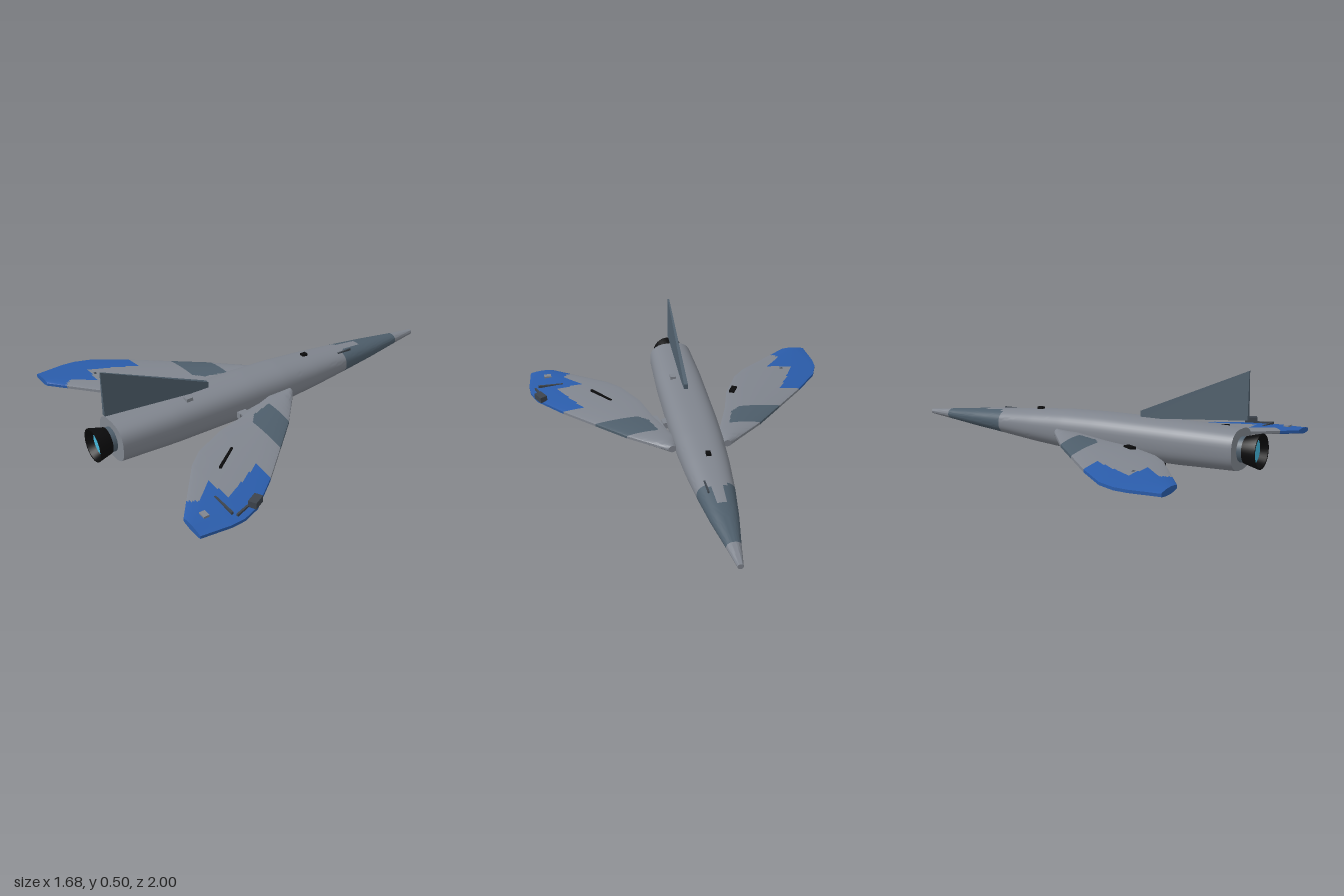
import * as THREE from 'three';
import { toCreasedNormals } from 'three/addons/utils/BufferGeometryUtils.js';

const paint = (name, color, side = THREE.FrontSide) => {
  const m = new THREE.MeshStandardMaterial({ color, side });
  m.name = name;
  return m;
};

// Piecewise linear lookup in a table of [position, value...] rows
function lookup(table, t, k = 1) {
  let i = 1;
  while (i < table.length - 1 && t > table[i][0]) i++;
  const a = table[i - 1], b = table[i];
  const f = THREE.MathUtils.clamp((t - a[0]) / (b[0] - a[0]), 0, 1);
  return a[k] + (b[k] - a[k]) * f;
}

function inside(poly, x, z) {
  let hit = false;
  for (let i = 0, j = poly.length - 1; i < poly.length; j = i++) {
    const [xi, zi] = poly[i], [xj, zj] = poly[j];
    if ((zi > z) !== (zj > z) && x < ((xj - xi) * (z - zi)) / (zj - zi) + xi) hit = !hit;
  }
  return hit;
}

// Skin through cross-sections; pick(x, y, z) chooses the material index of each cell
function skin(rows, cols, point, pick, flip, crease) {
  const pos = [], buckets = [[], [], []];
  for (let i = 0; i <= rows; i++) for (let j = 0; j <= cols; j++) pos.push(...point(i, j));
  const w = cols + 1;
  for (let i = 0; i < rows; i++) for (let j = 0; j < cols; j++) {
    const a = i * w + j, b = a + w, c = b + 1, d = a + 1;
    const mid = [0, 1, 2].map(k => [a, b, c, d].reduce((s, v) => s + pos[v * 3 + k], 0) / 4);
    buckets[pick(...mid)].push(...(flip ? [a, c, b, a, d, c] : [a, b, c, a, c, d]));
  }
  const geo = new THREE.BufferGeometry();
  geo.setAttribute('position', new THREE.Float32BufferAttribute(pos, 3));
  geo.setIndex(buckets.flat());
  let start = 0;
  buckets.forEach((b, k) => { geo.addGroup(start, b.length, k); start += b.length; });
  return toCreasedNormals(geo, crease);
}

// Wing plan: leading and trailing edge x at each z, and the painted areas
const LEAD = [[-0.05, 0.165], [0.12, 0.36], [0.45, 0.67], [0.61, 0.8], [0.7, 0.835], [0.77, 0.84], [0.92, 0.825]];
const TRAIL = [[-0.05, 0.125], [0.07, 0.125], [0.28, 0.2], [0.45, 0.245], [0.62, 0.33], [0.7, 0.4], [0.92, 0.69]];
const SLATE_AREA = [[0.19, 0.12], [0.4, 0.12], [0.6, 0.28], [0.28, 0.28], [0.23, 0.24]];
const BLUE_AREA = [[0.56, 0.455], [0.9, 0.455], [0.9, 0.95], [0.69, 0.95], [0.6, 0.86], [0.64, 0.81], [0.54, 0.7], [0.69, 0.69], [0.62, 0.56]];
const wingY = x => 0.13 - 0.057 * (x - 0.13);

function wingGeometry(side) {
  const rows = 97, n = 40;
  return skin(rows + 2, 2 * n + 2, (i, j) => {
    const z = -0.05 + 0.01 * THREE.MathUtils.clamp(i - 1, 0, rows);
    const under = j > n && j < 2 * n + 2;
    const u = j <= n ? j / n : under ? (2 * n + 1 - j) / n : 0;
    const x = THREE.MathUtils.lerp(lookup(TRAIL, z), lookup(LEAD, z), u);
    const cap = i === 0 || i === rows + 2;
    const half = cap ? 0 : 0.007 + 0.012 * (1.1 - 0.5 * x) * Math.pow(Math.sin(Math.PI * u) + 1e-9, 0.7);
    return [side * x, wingY(x) + (under ? -half : half), z];
  }, (x, y, z) => inside(BLUE_AREA, Math.abs(x), z) ? 2 : inside(SLATE_AREA, Math.abs(x), z) ? 1 : 0, side < 0, 0.6);
}

// Body stations: z, half width, bottom y, top y
const BODY = [[-1, 0.014, 0.115, 0.142], [-0.86, 0.036, 0.101, 0.155], [-0.66, 0.07, 0.081, 0.176], [-0.46, 0.096, 0.064, 0.194],
  [-0.25, 0.115, 0.043, 0.212], [-0.05, 0.126, 0.028, 0.226], [0.15, 0.13, 0.022, 0.231], [0.6, 0.13, 0.021, 0.231], [0.9, 0.12, 0.028, 0.226]];

function bodyGeometry() {
  const rows = 95, cols = 48;
  return skin(rows + 2, cols, (i, j) => {
    const z = -1 + 0.02 * THREE.MathUtils.clamp(i - 1, 0, rows);
    const k = i === 0 || i === rows + 2 ? 0 : 1; // closed ends
    const t = -Math.PI + (2 * Math.PI * j) / cols;
    const low = lookup(BODY, z, 2), high = lookup(BODY, z, 3);
    const e = 2 / (2.15 + 0.5 * THREE.MathUtils.clamp(z + 0.8, 0, 1));
    const round = v => Math.sign(v) * Math.pow(Math.abs(v), e);
    return [k * lookup(BODY, z, 1) * round(Math.sin(t)), (low + high) / 2 + k * ((high - low) / 2) * round(Math.cos(t)), z];
  }, (x, y, z) => {
    const notch = y > 0.13 && z > -0.6 && Math.abs(x) < (z > -0.49 ? 0.055 : 0.024);
    return z > -0.86 && z < -0.46 && !notch ? 1 : 0;
  }, false, 0.7);
}

export function createModel() {
  const grey = paint('hull grey', 0x80858e);
  const slate = paint('slate paint', 0x4e5e6b);
  const blue = paint('blue paint', 0x2a5caa);
  const black = paint('black metal', 0x0b0b0c, THREE.DoubleSide);
  const glow = paint('engine cyan', 0x45b5d9);
  const dark = paint('dark fitting', 0x3d444c);
  const model = new THREE.Group();
  const add = (name, geo, mat, x = 0, y = 0, z = 0) => {
    const mesh = new THREE.Mesh(geo, mat);
    mesh.name = name;
    mesh.position.set(x, y, z);
    model.add(mesh);
    return mesh;
  };

  add('fuselage', bodyGeometry(), [grey, slate, blue]);
  add('leftWing', wingGeometry(1), [grey, slate, blue]);
  add('rightWing', wingGeometry(-1), [grey, slate, blue]);

  // Root strip beside the left wing
  const strip = new THREE.Shape([[0.12, 0], [0.16, 0], [0.215, -0.28], [0.175, -0.28]].map(p => new THREE.Vector2(...p)));
  add('wingRootStrip', new THREE.ExtrudeGeometry(strip, { depth: 0.008, bevelEnabled: false }).rotateX(-Math.PI / 2), grey, 0, 0.124, 0);

  // Tail fin, thinning toward the top
  const fin = new THREE.Shape([[-0.36, 0.222], [-0.36, 0.26], [-0.93, 0.5], [-0.93, 0.268]].map(p => new THREE.Vector2(...p)));
  const finGeo = new THREE.ExtrudeGeometry(fin, { depth: 1, bevelEnabled: false }).translate(0, 0, -0.5).rotateY(Math.PI / 2);
  const fp = finGeo.attributes.position;
  for (let i = 0; i < fp.count; i++) fp.setX(i, fp.getX(i) * THREE.MathUtils.mapLinear(fp.getY(i), 0.22, 0.5, 0.024, 0.008));
  finGeo.computeVertexNormals();
  add('tailFin', finGeo, slate);

  // Engine: neck, flared nozzle, glowing disc
  const axis = 0.127;
  add('engineNeck', new THREE.CylinderGeometry(0.062, 0.062, 0.05, 32).rotateX(Math.PI / 2), slate, 0, axis, 0.915);
  const bell = [[0, 0.925], [0.066, 0.925], [0.085, 0.998], [0.085, 1], [0.077, 1], [0.06, 0.955], [0, 0.955]];
  const bellGeo = new THREE.LatheGeometry(bell.map(p => new THREE.Vector2(...p)), 32).rotateX(Math.PI / 2);
  add('engineNozzle', toCreasedNormals(bellGeo, 0.6), black, 0, axis, 0);
  add('engineGlow', new THREE.CircleGeometry(0.062, 32), glow, 0, axis, 0.966);

  // Small fittings: name, material, size, position, turn about y
  const fittings = [
    ['topSensor', black, [0.024, 0.016, 0.03], [-0.004, 0.216, -0.245], 0],
    ['topHatch', grey, [0.03, 0.02, 0.036], [0.05, 0.232, 0.5], 0],
    ['noseAntenna', dark, [0.008, 0.012, 0.09], [0.05, 0.186, -0.475], 0.05],
    ['sideBox', grey, [0.03, 0.034, 0.05], [0.138, 0.098, 0.245], 0],
    ['sideSensor', black, [0.014, 0.012, 0.018], [-0.131, 0.13, 0.07], 0],
    ['bellySensor', black, [0.045, 0.026, 0.055], [-0.07, 0.013, 0.5], 0],
    ['bellyBlade', black, [0.012, 0.014, 0.09], [0.03, 0.027, -0.04], 0],
    ['rightWingSensor', black, [0.03, 0.026, 0.06], [-0.285, 0.13, 0.46], -0.5],
    ['rightWingPlate', dark, [0.022, 0.012, 0.012], [-0.62, 0.113, 0.675], 0],
    ['rightWingPod', grey, [0.08, 0.026, 0.06], [-0.405, 0.076, 0.5], 0],
    ['rightWingBlade', dark, [0.035, 0.016, 0.008], [-0.52, 0.087, 0.6], 0],
    ['leftWingBlade', black, [0.012, 0.014, 0.164], [0.45, 0.129, 0.545], 0.65],
    ['tipPod', dark, [0.042, 0.032, 0.065], [0.782, 0.117, 0.61], 0.5],
    ['tipRod', dark, [0.01, 0.012, 0.08], [0.793, 0.106, 0.685], 0.35],
    ['tipBar', dark, [0.14, 0.012, 0.01], [0.72, 0.112, 0.735], 0],
    ['tipHatch', grey, [0.04, 0.016, 0.028], [0.73, 0.112, 0.84], 0],
  ];
  for (const [name, mat, size, at, turn] of fittings) {
    add(name, new THREE.BoxGeometry(...size), mat, ...at).rotation.y = turn;
  }
  return model;
}
